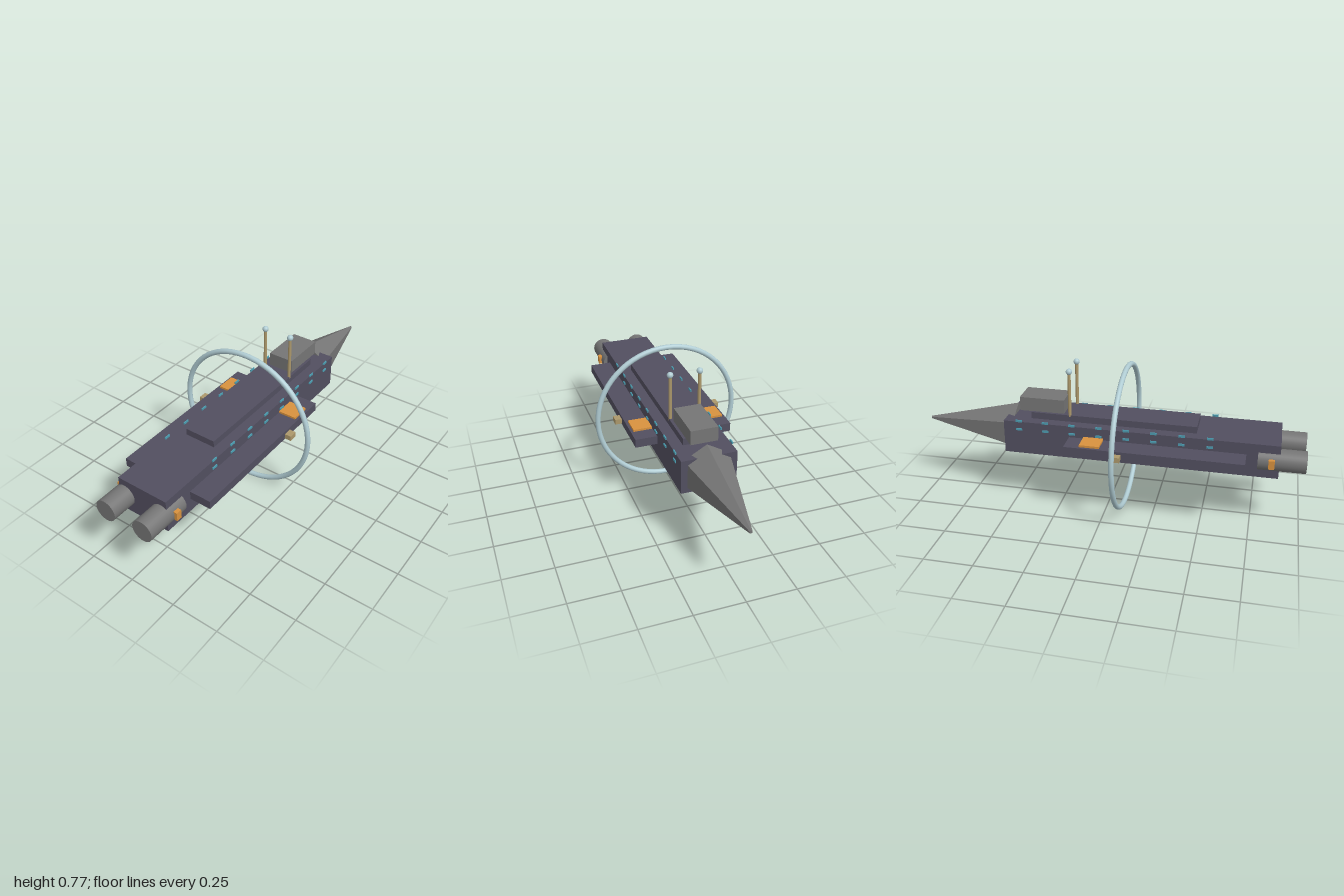
import * as THREE from 'three';

const mat = (name, color, extra = {}) => {
  const m = new THREE.MeshStandardMaterial({ color, ...extra });
  m.name = name;
  return m;
};

export function createModel() {
  const hullMat = mat('dark hull', 0x524f60);
  const greyMat = mat('grey metal', 0x757575);
  const noseMat = greyMat.clone();
  noseMat.name = 'grey metal faceted';
  noseMat.flatShading = true;
  const paleMat = mat('pale blue', 0xb0ccd3);
  const tanMat = mat('tan', 0xac986b);
  const orangeMat = mat('orange', 0xd8923f);
  const tealMat = mat('teal window', 0x4c9cb0);

  const group = new THREE.Group();
  group.name = 'spaceship';

  const add = (name, geometry, material, x, y, z) => {
    const mesh = new THREE.Mesh(geometry, material);
    mesh.name = name;
    mesh.position.set(x, y, z);
    group.add(mesh);
    return mesh;
  };
  // Box given by its limits on each axis
  const box = (name, material, [x0, x1], [y0, y1], [z0, z1]) =>
    add(name, new THREE.BoxGeometry(Math.abs(x1 - x0), y1 - y0, z1 - z0), material,
      (x0 + x1) / 2, (y0 + y1) / 2, (z0 + z1) / 2);

  // Hull, raised deck and bridge
  box('hull', hullMat, [-0.14, 0.14], [0.302, 0.479], [-0.532, 0.872]);
  box('upperDeck', hullMat, [-0.083, 0.083], [0.479, 0.514], [-0.4, 0.458]);
  box('bridge', greyMat, [-0.069, 0.069], [0.513, 0.587], [-0.463, -0.228]);

  // Six-sided spike at the rear
  const spike = new THREE.CylinderGeometry(0.008, 0.133, 0.505, 6);
  spike.rotateX(-Math.PI / 2);
  add('spike', spike, noseMat, 0, 0.39, -0.7475);

  // Large ring around the hull
  add('ring', new THREE.TorusGeometry(0.374, 0.0135, 16, 64), paleMat, 0, 0.39, 0.085);

  for (const s of [1, -1]) {
    const side = s > 0 ? 'left' : 'right';

    // Side pod with its panel and outer stub
    box(side + 'Pod', hullMat, [s * 0.13, s * 0.253], [0.374, 0.419], [-0.185, 0.71]);
    box(side + 'PodPanel', orangeMat, [s * 0.142, s * 0.239], [0.415, 0.43], [-0.108, -0.006]);
    box(side + 'Stub', tanMat, [s * 0.24, s * 0.288], [0.378, 0.405], [0.061, 0.106]);

    // Engine with a side light
    const engine = new THREE.CylinderGeometry(0.056, 0.056, 0.234, 32);
    engine.rotateX(Math.PI / 2);
    add(side + 'Engine', engine, greyMat, s * 0.108, 0.39, 0.883);
    box(side + 'EngineLight', orangeMat, [s * 0.145, s * 0.178], [0.368, 0.414], [0.818, 0.848]);

    // Antenna mast and ball
    add(side + 'Mast', new THREE.CylinderGeometry(0.0085, 0.0085, 0.24, 16), tanMat,
      s * 0.076, 0.625, -0.195);
    add(side + 'MastBall', new THREE.SphereGeometry(0.016, 20, 14), paleMat,
      s * 0.076, 0.75, -0.195);

    // Two rows of windows
    for (const y of [0.438, 0.484]) {
      for (let i = 0; i < 8; i++) {
        add(side + 'Window', new THREE.BoxGeometry(0.006, 0.011, 0.032), tealMat,
          s * 0.1425, y, 0.53 - i * 0.14);
      }
    }
  }
  return group;
}
